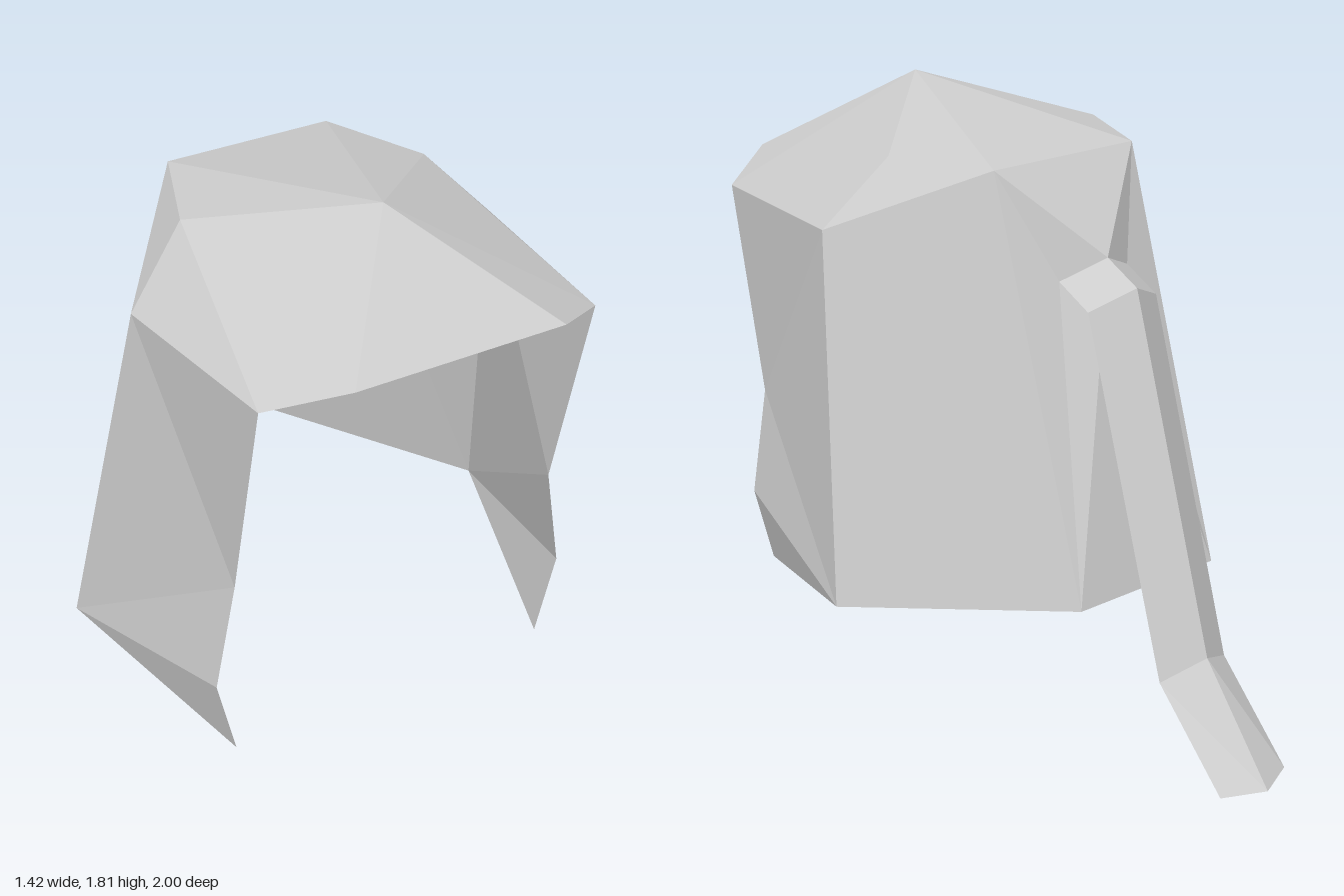
import * as THREE from 'three';

// Corner points of the +x half; a leading '-' in a face mirrors the point.
const P = {
  apex: [0, 1.81, 0.61], fringe: [0.32, 1.55, 1.0], temple: [0.52, 1.48, 0.87],
  ear: [0.58, 1.48, 0.29], crown: [0.39, 1.68, 0.22], nape: [0.26, 1.68, -0.10],
  backHem: [0.26, 0.455, -0.485], sideHem: [0.71, 0.39, 0.10],
  lockIn: [0.52, 0.84, 0.74], lockOut: [0.58, 0.51, 0.74], lockTip: [0.52, 0.26, 0.74],
  // ponytail sections: ridge point and edge point
  ridge0: [0, 1.42, -0.29], edge0: [0.13, 1.36, -0.23],
  ridge1: [0, 1.36, -0.415], edge1: [0.13, 1.30, -0.355],
  ridge2: [0, 0.32, -0.74], edge2: [0.13, 0.26, -0.68],
  ridge3: [0, 0, -1.0], edge3: [0.13, 0, -0.94],
};

function point(name, flip) {
  const mirrored = name.startsWith('-');
  const [x, y, z] = P[mirrored ? name.slice(1) : name];
  return [mirrored !== flip ? -x : x, y, z];
}

// Faceted panel: 'faces' are mirrored across x, 'middle' faces span both halves.
function panel(name, material, faces, middle = []) {
  const pos = [];
  const add = (face, flip) => {
    const names = face.split(' ');
    if (flip) names.reverse();
    for (let i = 1; i < names.length - 1; i++)
      for (const n of [names[0], names[i], names[i + 1]]) pos.push(...point(n, flip));
  };
  faces.forEach((f) => { add(f, false); add(f, true); });
  middle.forEach((f) => add(f, false));
  const geo = new THREE.BufferGeometry();
  geo.setAttribute('position', new THREE.Float32BufferAttribute(pos, 3));
  geo.computeVertexNormals();
  const mesh = new THREE.Mesh(geo, material);
  mesh.name = name;
  return mesh;
}

export function createModel() {
  const hair = new THREE.MeshStandardMaterial({ color: 0xcccccc, side: THREE.DoubleSide, flatShading: true });
  hair.name = 'hairGrey';
  const group = new THREE.Group();
  group.name = 'hair';

  group.add(
    // faceted cap over the head
    panel('crown', hair,
      ['apex fringe temple crown', 'apex crown nape', 'crown temple ear', 'crown ear nape'],
      ['apex nape -nape']),
    // triangular front fringe
    panel('fringe', hair, [], ['-fringe fringe apex']),
    // long locks framing the face
    panel('sideLocks', hair,
      ['temple lockIn ear', 'lockIn sideHem ear', 'lockIn lockOut sideHem', 'lockOut lockTip sideHem']),
    // hair behind the ears
    panel('rearSides', hair, ['ear sideHem nape', 'sideHem backHem nape']),
    // back, gathered toward the ponytail root
    panel('back', hair,
      ['nape edge0 ridge0', 'nape backHem edge0', 'edge0 backHem ridge0'],
      ['nape ridge0 -nape', 'ridge0 backHem -backHem']),
    // ridged open strip with a kicked-out tip
    panel('ponytail', hair,
      [0, 1, 2].map((i) => `edge${i} edge${i + 1} ridge${i + 1} ridge${i}`)),
  );
  return group;
}
